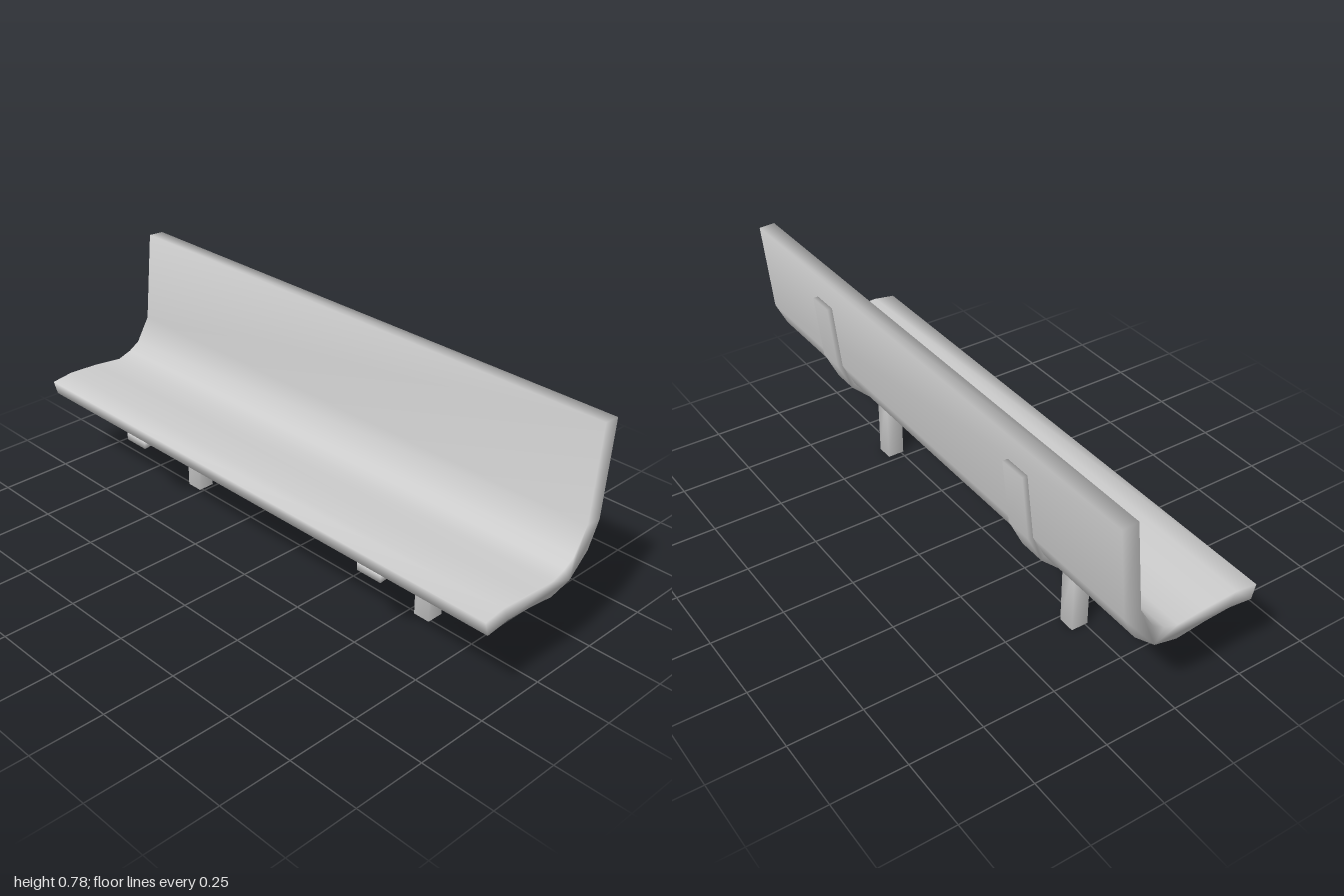
import * as THREE from 'three';
import { mergeVertices } from 'three/addons/utils/BufferGeometryUtils.js';

// Share corner vertices so shading flows softly over every edge
function soften(geometry) {
  geometry.deleteAttribute('normal');
  geometry.deleteAttribute('uv');
  const merged = mergeVertices(geometry, 1e-4);
  merged.computeVertexNormals();
  return merged;
}

// Sweep a side profile of [z, y] points along x, centred on x = 0
function sweepProfile(points, width) {
  const shape = new THREE.Shape(points.map(([z, y]) => new THREE.Vector2(-z, y)));
  const geometry = new THREE.ExtrudeGeometry(shape, { depth: width, bevelEnabled: false });
  geometry.translate(0, 0, -width / 2).rotateY(Math.PI / 2);
  return soften(geometry);
}

export function createModel() {
  const group = new THREE.Group();
  const grey = new THREE.MeshStandardMaterial({ color: 0xcccccc });
  grey.name = 'light grey';

  const add = (name, geometry, x = 0, y = 0, z = 0) => {
    const mesh = new THREE.Mesh(geometry, grey);
    mesh.name = name;
    mesh.position.set(x, y, z);
    group.add(mesh);
  };

  // Curved shell: seat and backrest in one, top face then underside
  const seatTop = [
    [0.267, 0.344], [0.19, 0.355], [0.08, 0.351], [-0.024, 0.34],
    [-0.075, 0.357], [-0.115, 0.382], [-0.165, 0.465], [-0.197, 0.78],
  ];
  const seatUnder = [
    [-0.253, 0.777], [-0.222, 0.46], [-0.18, 0.375], [-0.105, 0.307],
    [-0.024, 0.288], [0.08, 0.3], [0.17, 0.305], [0.254, 0.295],
  ];
  add('seatShell', sweepProfile([...seatTop, ...seatUnder], 2));

  // Support strap that follows the underside of the shell
  const strapUnder = [
    [0.254, 0.268], [0.17, 0.278], [0.08, 0.273], [-0.024, 0.265],
    [-0.112, 0.287], [-0.19, 0.36], [-0.24, 0.463], [-0.265, 0.69],
  ];
  const strapTop = [[-0.247, 0.69], ...seatUnder.slice(1)];
  const strap = sweepProfile([...strapUnder, ...strapTop], 0.095);
  const leg = soften(new THREE.BoxGeometry(0.06, 0.275, 0.06));

  for (const [side, x] of [['left', 0.555], ['right', -0.542]]) {
    add(side + 'Strap', strap, x);
    add(side + 'Leg', leg, x, 0.1375, -0.02);
  }
  return group;
}
